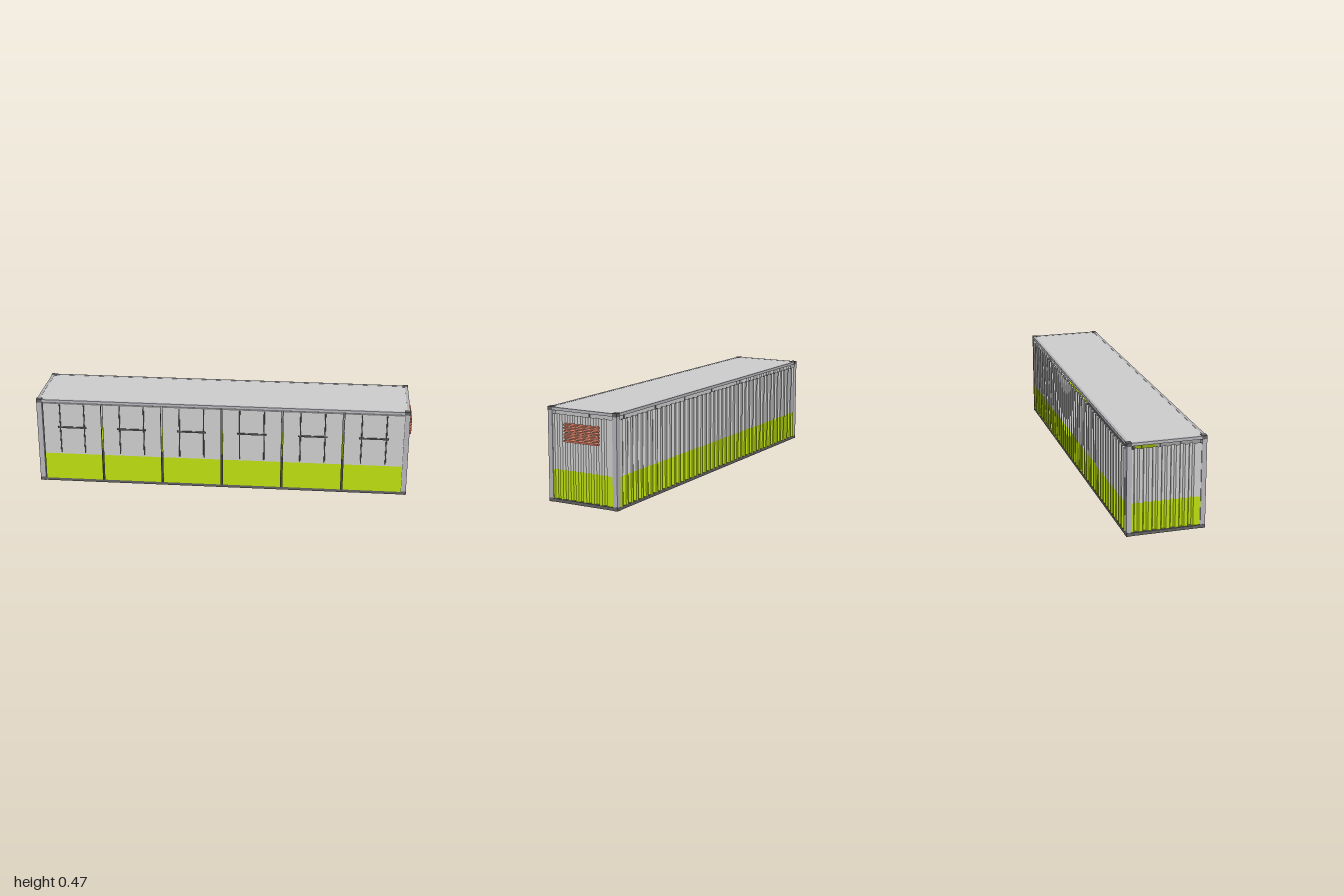
import * as THREE from 'three';

const mat = (color) => new THREE.MeshStandardMaterial({ color });
const grey = mat(0xcccccc);
const postGrey = mat(0xb4b3b8);
const dark = mat(0x606060);
const floorDark = mat(0x3a3a3a);
const green = mat(0xbbdd10);
const coral = mat(0xe28468);
const wallGrey = mat(0xcccccc), wallGreen = mat(0xbbdd10);
wallGrey.side = wallGreen.side = THREE.DoubleSide;

// Overall limits of the container body
const X0 = -1, X1 = 0.985, Z0 = -0.202, Z1 = 0.197;
const Y_FLOOR = 0.017, Y_BAND = 0.165, Y_WALL = 0.441, Y_RAIL = 0.458, TOP = 0.475;

// Box given by its minimum and maximum corners
function box(parent, name, material, x0, x1, y0, y1, z0, z1) {
  const m = new THREE.Mesh(new THREE.BoxGeometry(x1 - x0, y1 - y0, z1 - z0), material);
  m.position.set((x0 + x1) / 2, (y0 + y1) / 2, (z0 + z1) / 2);
  m.name = name;
  parent.add(m);
  return m;
}

// Plan line of trapezoid corrugations from u = 0 to length; depth is inward (-z)
function corrugation(length, start, count, pitch) {
  const slope = 0.007, valley = 0.0135, depth = 0.012;
  const pts = [[0, 0]];
  for (let i = 0; i < count; i++) {
    const u = start + i * pitch;
    pts.push([u, 0], [u + slope, -depth], [u + slope + valley, -depth], [u + 2 * slope + valley, 0]);
  }
  pts.push([length, 0]);
  return pts;
}

// Raise a plan line into a sheet of flat facets facing +z
function sheet(pts, y0, y1) {
  const v = [];
  for (let i = 0; i + 1 < pts.length; i++) {
    const [a, b] = pts[i], [c, d] = pts[i + 1];
    v.push(a, y0, b, c, y0, d, c, y1, d, a, y0, b, c, y1, d, a, y1, b);
  }
  const g = new THREE.BufferGeometry();
  g.setAttribute('position', new THREE.Float32BufferAttribute(v, 3));
  g.computeVertexNormals();
  return g;
}

function corrugatedWall(name, pts) {
  const wall = new THREE.Group();
  wall.name = name;
  const lower = new THREE.Mesh(sheet(pts, Y_FLOOR, Y_BAND), wallGreen);
  lower.name = 'lowerBand';
  const upper = new THREE.Mesh(sheet(pts, Y_BAND, Y_WALL), wallGrey);
  upper.name = 'upperBand';
  wall.add(lower, upper);
  return wall;
}

function createDoor(width) {
  const door = new THREE.Group();
  door.name = 'door';
  const h = width / 2;
  box(door, 'lowerPanel', green, -h, h, Y_FLOOR, Y_BAND, -0.01, 0);
  box(door, 'upperPanel', grey, -h, h, Y_BAND, 0.455, -0.01, 0);
  // Locking rods and the cross handle
  for (const s of [-1, 1]) {
    const rod = new THREE.Mesh(new THREE.CylinderGeometry(0.003, 0.003, 0.275, 8), dark);
    rod.position.set(s * 0.065, 0.3125, 0.002);
    rod.name = 'lockRod';
    door.add(rod);
    box(door, 'doorEdge', dark, s * h - 0.001, s * h + 0.001, Y_FLOOR, 0.455, -0.01, 0.0005);
  }
  box(door, 'handle', dark, -0.078, 0.078, 0.317, 0.325, 0.003, 0.008);
  return door;
}

export function createModel() {
  const model = new THREE.Group();
  model.name = 'storageContainer';

  // Floor and base rails
  box(model, 'floor', floorDark, X0 + 0.01, X1 - 0.01, 0.002, 0.014, Z0 + 0.01, Z1 - 0.01);
  for (const z of [Z0, Z1 - 0.02]) box(model, 'baseSideRail', dark, X0, X1, 0.001, Y_FLOOR, z, z + 0.02);
  for (const x of [X0, X1 - 0.02]) box(model, 'baseEndRail', dark, x, x + 0.02, 0.001, Y_FLOOR, Z0, Z1);

  // Roof and top rails
  box(model, 'roof', grey, X0 + 0.01, X1 - 0.01, 0.464, 0.472, Z0 + 0.01, Z1 - 0.01);
  for (const z of [Z0 + 0.001, Z1 - 0.016]) box(model, 'topSideRail', postGrey, X0 + 0.001, X1 - 0.001, Y_RAIL, 0.473, z, z + 0.015);
  for (const x of [X0 + 0.001, X1 - 0.016]) box(model, 'topEndRail', postGrey, x, x + 0.015, Y_RAIL, 0.473, Z0 + 0.001, Z1 - 0.001);

  // Corner posts with castings at both ends
  for (const x of [X0, X1 - 0.03]) {
    for (const z of [Z0, Z1 - 0.026]) {
      box(model, 'cornerPost', postGrey, x + 0.0005, x + 0.0295, 0.019, 0.457, z + 0.0005, z + 0.0255);
      box(model, 'bottomCasting', dark, x, x + 0.03, 0, 0.019, z, z + 0.026);
      box(model, 'topCasting', dark, x, x + 0.03, 0.457, TOP, z, z + 0.026);
    }
  }

  // Corrugated end walls, facing +x and -x
  const endPts = corrugation(0.35, 0.012, 7, 0.0455);
  const leftWall = corrugatedWall('leftEndWall', endPts);
  leftWall.rotation.y = Math.PI / 2;
  leftWall.position.set(X1 - 0.005, 0, 0.172);
  const rightWall = corrugatedWall('rightEndWall', endPts);
  rightWall.rotation.y = -Math.PI / 2;
  rightWall.position.set(X0 + 0.005, 0, -0.177);

  // Corrugated back wall, facing -z
  const backWall = corrugatedWall('backWall', corrugation(1.936, 0.022, 42, 0.0455));
  backWall.rotation.y = Math.PI;
  backWall.position.set(0.96, 0, -0.204);
  model.add(leftWall, rightWall, backWall);

  // Row of six doors along the front
  const pitch = 0.322;
  for (let i = 0; i < 6; i++) {
    const door = createDoor(pitch - 0.01);
    door.position.set(-0.9695 + (i + 0.5) * pitch, 0, 0.199);
    model.add(door);
  }

  // Ventilation louvre on the left end
  const louvre = new THREE.Group();
  louvre.name = 'ventLouvre';
  for (let i = 0; i < 6; i++) {
    const y = 0.315 + i * 0.0162;
    box(louvre, 'slat', coral, 0.965, 1, y - 0.004, y + 0.004, -0.101, 0.095);
  }
  model.add(louvre);

  return model;
}
